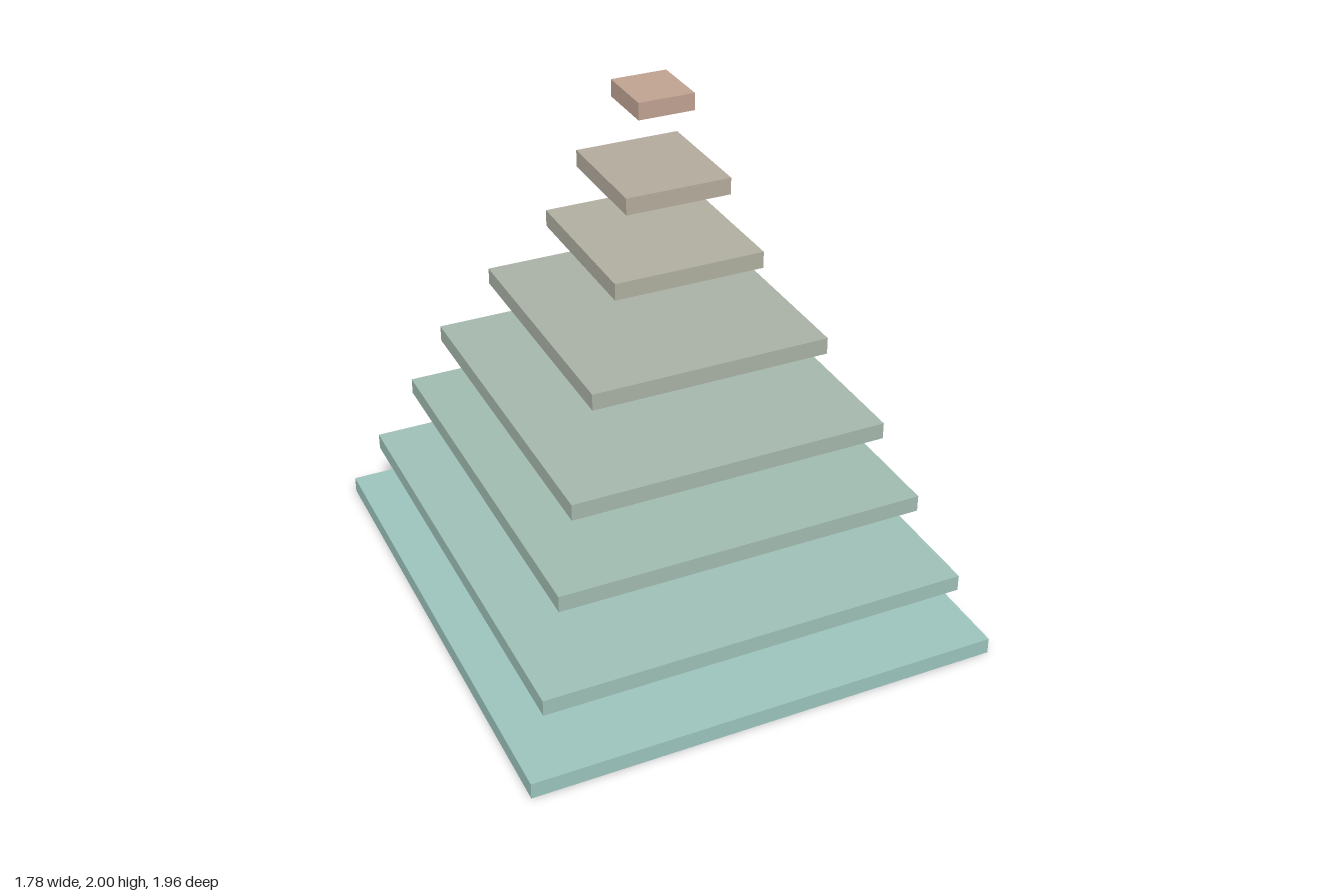
import * as THREE from 'three';

const THICKNESS = 0.062;
const DEPTH_RATIO = 1.097; // each slab is slightly deeper than wide

// Floating slabs from bottom to top: [width, centre height, colour]
const SLABS = [
  [1.784, 0.031, 0x9cc4bd],
  [1.606, 0.277, 0x9ec0b7],
  [1.374, 0.578, 0xa1bbb1],
  [1.18, 0.848, 0xa5b7ac],
  [0.884, 1.142, 0xa9b2a6],
  [0.556, 1.428, 0xafae9f],
  [0.388, 1.684, 0xb3ab9c],
  [0.206, 1.969, 0xbfa291],
];

export function createModel() {
  const group = new THREE.Group();
  group.name = 'steppedPyramid';

  SLABS.forEach(([width, y, color], i) => {
    const slab = new THREE.Mesh(
      new THREE.BoxGeometry(width, THICKNESS, width * DEPTH_RATIO),
      new THREE.MeshStandardMaterial({ color })
    );
    slab.name = `slab${i + 1}`;
    slab.position.y = y;
    group.add(slab);
  });

  return group;
}
